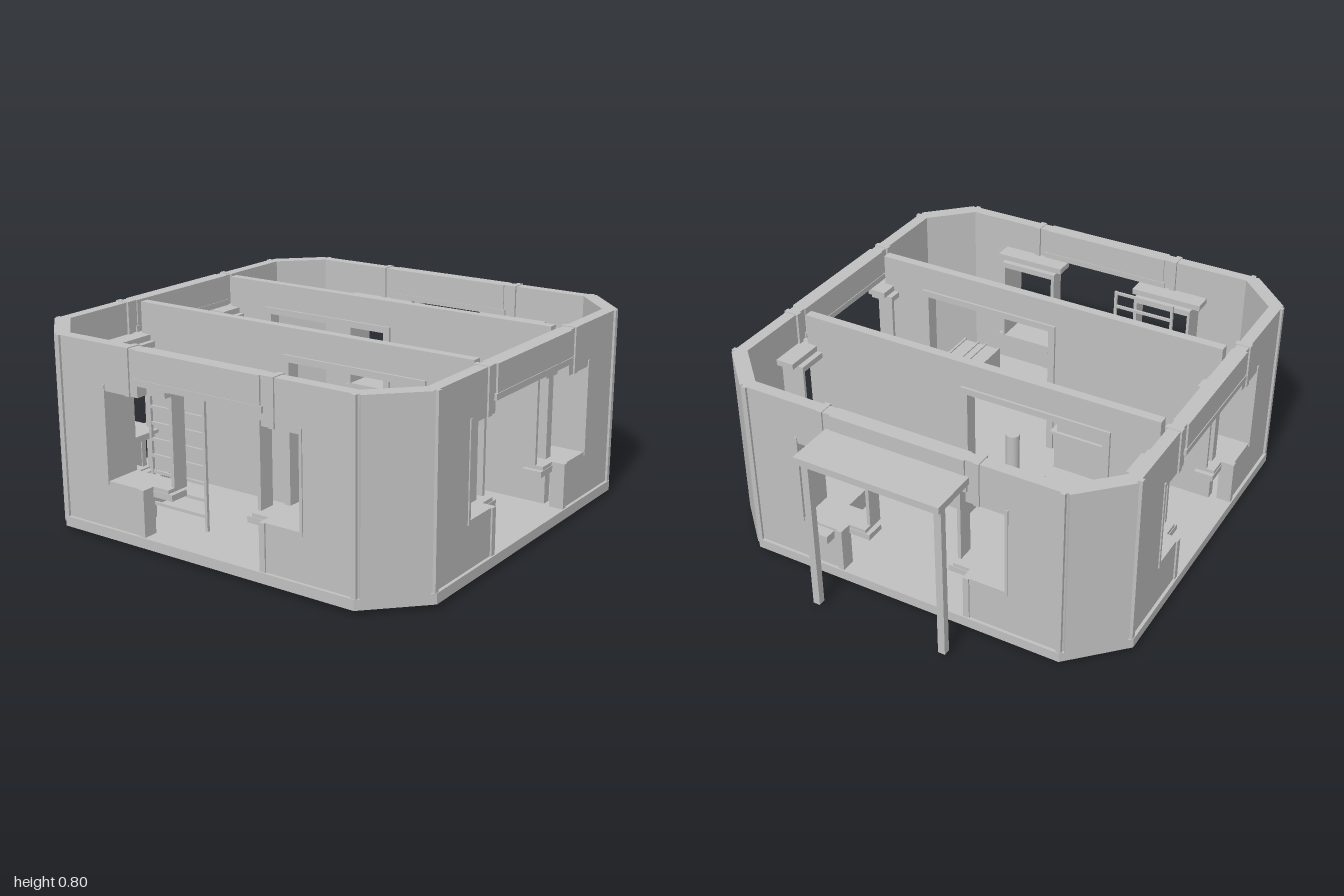
import * as THREE from 'three';

const plaster = new THREE.MeshStandardMaterial({ color: 0xc0c0c0 });
plaster.name = 'light grey';

const CZ = 0.1;      // centre of the house along z
const FLOOR = 0.06;  // floor level
const TOP = 0.795;   // top of the walls

function add(parent, name, geometry) {
  const mesh = new THREE.Mesh(geometry, plaster);
  mesh.name = name;
  parent.add(mesh);
  return mesh;
}

// Box given by its limits on each axis
function box(parent, name, x0, x1, y0, y1, z0, z1) {
  const mesh = add(parent, name, new THREE.BoxGeometry(Math.abs(x1 - x0), y1 - y0, Math.abs(z1 - z0)));
  mesh.position.set((x0 + x1) / 2, (y0 + y1) / 2, (z0 + z1) / 2);
  return mesh;
}

function cylinder(parent, name, x, z, r, y0, y1) {
  const mesh = add(parent, name, new THREE.CylinderGeometry(r, r, y1 - y0, 40));
  mesh.position.set(x, (y0 + y1) / 2, z);
}

// Flat outline in x and y, pushed along z from z0 to z1
function plate(parent, name, points, z0, z1) {
  const shape = new THREE.Shape(points.map(([x, y]) => new THREE.Vector2(x, y)));
  const mesh = add(parent, name, new THREE.ExtrudeGeometry(shape, { depth: z1 - z0, bevelEnabled: false }));
  mesh.position.z = z0;
  return mesh;
}

// Eight-sided slab with cut corners
function slab(parent, name, half, cut, y0, y1) {
  const points = [[cut, half], [-cut, half], [-half, cut], [-half, -cut],
    [-cut, -half], [cut, -half], [half, -cut], [half, cut]];
  const mesh = plate(parent, name, points, 0, y1 - y0);
  mesh.rotation.x = -Math.PI / 2;
  mesh.position.set(0, y0, CZ);
}

// One outer wall facing +z, with a wide doorway between two windows
function wall() {
  const g = new THREE.Group();
  g.name = 'outerWall';
  for (const s of [-1, 1]) {
    const outline = [[0.68, FLOOR], [0.68, TOP], [0.29, TOP], [0.29, 0.61], [0.46, 0.61],
      [0.46, 0.25], [0.275, 0.25], [0.275, FLOOR]];
    plate(g, 'wallPanel', outline.map(([x, y]) => [s * x, y]), 0.835, 0.885);
    box(g, 'wallEndTrim', s * 0.675, s * 0.695, FLOOR, TOP, 0.84, 0.895);
    box(g, 'upperPost', s * 0.325, s * 0.35, 0.61, TOP + 0.003, 0.825, 0.892);
    box(g, 'lowerPost', s * 0.275, s * 0.3, FLOOR, 0.25, 0.83, 0.892);
    // Window lining with a sill and a cornice on the inside
    box(g, 'windowJamb', s * 0.2, s * 0.215, 0.235, 0.635, 0.73, 0.8);
    box(g, 'windowJamb', s * 0.455, s * 0.467, 0.235, 0.635, 0.73, 0.89);
    box(g, 'windowHead', s * 0.2, s * 0.467, 0.61, 0.635, 0.73, 0.835);
    box(g, 'windowBase', s * 0.2, s * 0.467, 0.235, 0.25, 0.73, 0.835);
    box(g, 'windowSill', s * 0.18, s * 0.5, 0.21, 0.235, 0.755, 0.838);
    box(g, 'windowCornice', s * 0.18, s * 0.5, 0.635, 0.66, 0.755, 0.838);
  }
  box(g, 'doorHeader', -0.29, 0.29, 0.685, TOP, 0.83, 0.893);
  box(g, 'doorHeaderTrim', -0.3, 0.3, 0.66, 0.685, 0.827, 0.896);
  return g;
}

// Inner wall with a door opening from x0 to x1
function partition(parent, z, x0, x1) {
  const g = new THREE.Group();
  g.name = 'partition';
  g.position.z = z;
  plate(g, 'partitionPanel', [[-0.8, FLOOR], [x0, FLOOR], [x0, 0.66], [x1, 0.66], [x1, FLOOR],
    [0.8, FLOOR], [0.8, TOP], [-0.8, TOP]], -0.02, 0.02);
  box(g, 'partitionJamb', x0 - 0.025, x0 + 0.005, FLOOR, 0.685, -0.03, 0.03);
  box(g, 'partitionJamb', x1 - 0.005, x1 + 0.025, FLOOR, 0.685, -0.03, 0.03);
  box(g, 'partitionLintel', x0, x1, 0.657, 0.685, -0.03, 0.03);
  parent.add(g);
}

export function createModel() {
  const model = new THREE.Group();
  model.name = 'house';

  // Floor
  slab(model, 'foundation', 0.865, 0.66, 0, 0.02);
  slab(model, 'floor', 0.898, 0.69, 0.018, FLOOR);

  // Four walls and four slanted corners
  const walls = new THREE.Group();
  walls.name = 'walls';
  walls.position.z = CZ;
  for (let i = 0; i < 4; i++) {
    const side = wall();
    side.rotation.y = i * Math.PI / 2;
    walls.add(side);
    const corner = new THREE.Group();
    corner.name = 'cornerWall';
    corner.rotation.y = (i + 0.5) * Math.PI / 2;
    box(corner, 'cornerPanel', -0.14, 0.14, FLOOR, TOP, 1.065, 1.115);
    box(corner, 'cornerFace', -0.125, 0.125, 0.03, TOP, 1.11, 1.127);
    walls.add(corner);
  }
  model.add(walls);

  // Partitions on both sides of the hall
  partition(model, -0.21, -0.575, 0.03);
  partition(model, 0.38, -0.03, 0.575);

  // Porch at the back
  box(model, 'porchRoof', -0.31, 0.31, 0.7, 0.73, -1, -0.79);
  for (const s of [-1, 1]) box(model, 'porchPost', s * 0.27, s * 0.3, 0.015, 0.7, -0.97, -0.94);
  box(model, 'outsideShelf', 0.31, 0.395, 0.21, 0.245, -0.84, -0.79);

  // Hall furniture
  cylinder(model, 'floorDisc', 0, 0.09, 0.142, FLOOR, 0.066);
  cylinder(model, 'pillar', 0, 0.09, 0.03, FLOOR, 0.28);
  box(model, 'cabinet', 0.112, 0.498, FLOOR, 0.37, -0.19, -0.035);
  box(model, 'deskBody', -0.49, -0.125, FLOOR, 0.245, 0.235, 0.36);
  box(model, 'deskTop', -0.5, -0.115, 0.245, 0.26, 0.212, 0.36);
  box(model, 'deskScreen', -0.47, -0.14, 0.26, 0.37, 0.226, 0.236);

  // Paired furniture in the back and front rooms
  for (const s of [-1, 1]) {
    box(model, 'tableBody', s * 0.43, s * 0.61, FLOOR, 0.15, -0.54, -0.32);
    box(model, 'tableTop', s * 0.41, s * 0.63, 0.14, 0.17, -0.56, -0.295);
    cylinder(model, 'stool', s * 0.69, -0.43, 0.058, FLOOR, 0.15);
    box(model, 'crate', s * 0.48, s * 0.665, FLOOR, 0.17, 0.625, 0.815);
    for (const x of [0, 0.075, 0.115, 0.185])
      box(model, 'crateStrap', s * 0.572 - 0.0975 + x, s * 0.572 - 0.0875 + x, FLOOR, 0.176, 0.62, 0.82);
  }

  // Ladder by the front door
  const ladder = new THREE.Group();
  ladder.name = 'ladder';
  for (const x of [-0.4, -0.13]) box(ladder, 'ladderRail', x, x + 0.012, FLOOR, 0.655, 0.8, 0.812);
  for (let i = 0; i < 9; i++) {
    const y = 0.12 + i * 0.066;
    box(ladder, 'ladderRung', -0.395, -0.125, y - 0.006, y + 0.006, 0.801, 0.811);
  }
  model.add(ladder);

  return model;
}
